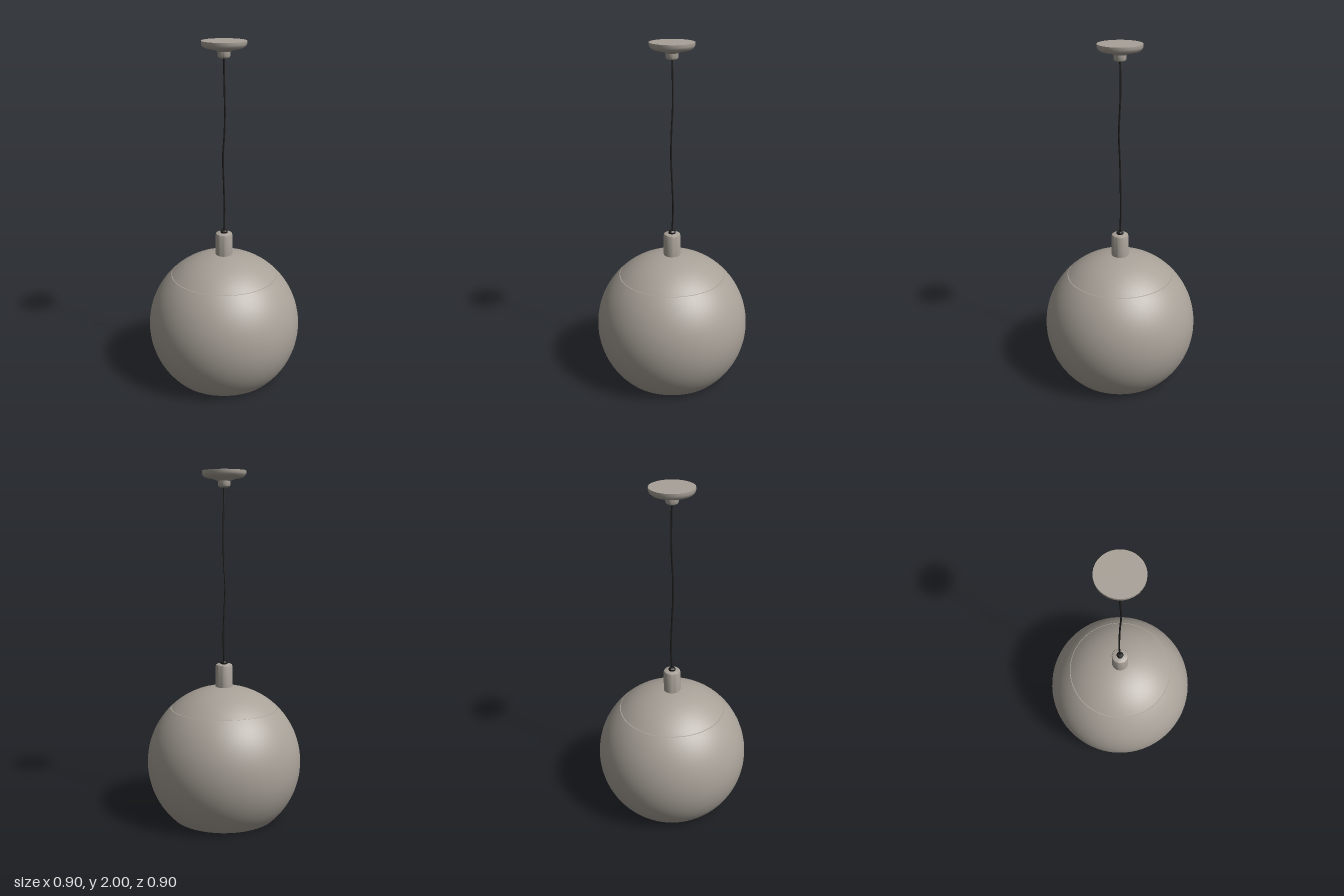
import * as THREE from 'three';
import { toCreasedNormals } from 'three/addons/utils/BufferGeometryUtils.js';

const R = 0.45, CENTRE = 0.325, WALL = 0.006;

export function createModel() {
  const group = new THREE.Group();
  const shell = new THREE.MeshStandardMaterial({ color: 0xa8a198, side: THREE.DoubleSide });
  shell.name = 'warm grey metal';
  const dark = new THREE.MeshStandardMaterial({ color: 0x1e1d1c });
  dark.name = 'black cord';

  const add = (name, geometry, material) => {
    const mesh = new THREE.Mesh(geometry, material);
    mesh.name = name;
    group.add(mesh);
  };
  // Profile points run upwards on the outside
  const turn = (points, sides) => toCreasedNormals(
    new THREE.LatheGeometry(points.map(p => new THREE.Vector2(p[0], p[1])), sides), 0.6);

  // Points of a sphere between two heights
  const arc = (r, y0, y1, steps) => {
    const a0 = Math.asin((y0 - CENTRE) / r), a1 = Math.asin(Math.min(1, (y1 - CENTRE) / r));
    return Array.from({ length: steps + 1 }, (_, i) => {
      const a = a0 + (a1 - a0) * i / steps;
      return [Math.max(0, r * Math.cos(a)), CENTRE + r * Math.sin(a)];
    });
  };
  // Thin wall: outer face up, inner face back down, closed at the start
  const wall = (y0, y1, steps) => {
    const outer = arc(R, y0, y1, steps);
    const inner = arc(R - WALL, y0, Math.min(y1, CENTRE + R - WALL), steps).reverse();
    return [...outer, ...inner, outer[0]];
  };

  // Globe shade in two pieces with a fine seam
  add('shadeBody', turn(wall(0, 0.648, 32), 64), shell);
  add('shadeCap', turn(wall(0.652, CENTRE + R, 12), 64), shell);
  add('shadeSeam', turn(arc(R - 0.004, 0.644, 0.656, 2), 64), shell);

  // Lamp holder stem above the shade
  add('stem', turn([[0, 0.76], [0.049, 0.76], [0.049, 0.894], [0.046, 0.902], [0.038, 0.906], [0, 0.906]], 32), shell);
  add('cordGrip', turn([[0, 0.904], [0.02, 0.904], [0.02, 0.915], [0.013, 0.923], [0, 0.925]], 16), dark);

  // Slightly wavy hanging cord
  const cordPath = new THREE.CatmullRomCurve3([
    [0, 0.91, 0], [0.001, 1.05, -0.006], [-0.002, 1.2, -0.002], [-0.005, 1.36, 0.004],
    [0.004, 1.5, 0.005], [0.005, 1.62, -0.001], [0.002, 1.72, -0.004], [0, 1.82, -0.003], [0, 1.93, 0],
  ].map(p => new THREE.Vector3(...p)));
  add('cord', new THREE.TubeGeometry(cordPath, 60, 0.005, 8), dark);

  // Ceiling canopy with collar
  add('canopy', turn([
    [0, 1.908], [0.022, 1.908], [0.032, 1.914], [0.035, 1.922], [0.035, 1.943], [0.045, 1.947],
    [0.062, 1.955], [0.09, 1.959], [0.108, 1.964], [0.119, 1.973], [0.124, 1.985], [0.124, 2], [0, 2],
  ], 32), shell);

  return group;
}
